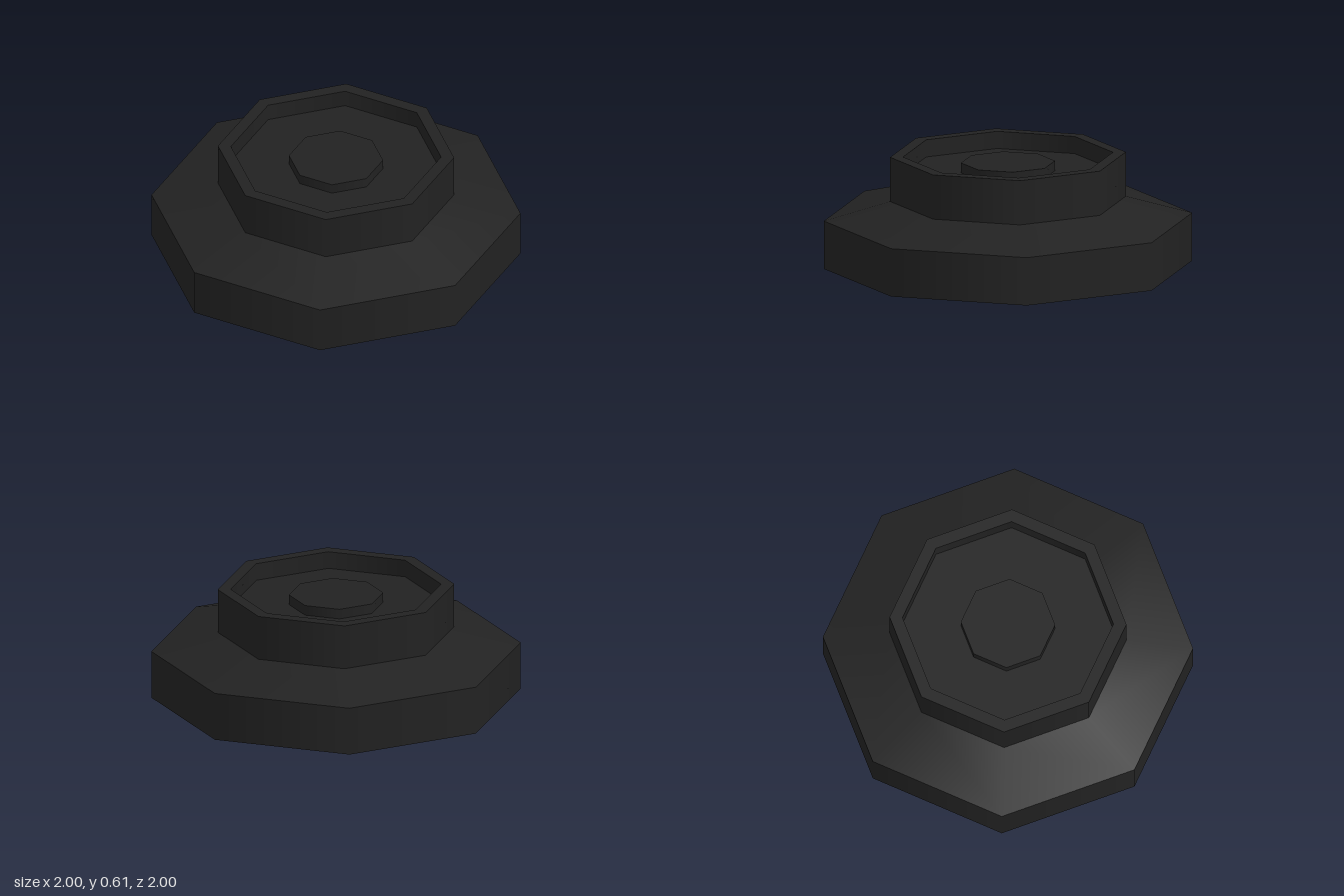
import * as THREE from 'three';

const SIDES = 8;

export function createModel() {
  const group = new THREE.Group();
  group.name = 'steppedKnob';

  const black = new THREE.MeshStandardMaterial({ color: 0x222222 });
  black.name = 'black';

  // One octagonal band per profile segment: smooth around, sharp between bands
  function addPart(name, profile) {
    const part = new THREE.Group();
    part.name = name;
    for (let i = 0; i < profile.length - 1; i++) {
      const points = [profile[i], profile[i + 1]].map(([r, y]) => new THREE.Vector2(r, y));
      const band = new THREE.Mesh(new THREE.LatheGeometry(points, SIDES), black);
      band.name = `${name}Band${i + 1}`;
      part.add(band);
    }
    group.add(part);
  }

  // Wide base: underside, wall and sloped shoulder
  addPart('base', [[0, 0], [1, 0], [1, 0.265], [0.64, 0.365]]);
  // Raised collar: outer wall, rim, inner wall
  addPart('collar', [[0.64, 0.365], [0.64, 0.61], [0.57, 0.61], [0.57, 0.515]]);
  // Recessed floor
  addPart('recessFloor', [[0.57, 0.515], [0.255, 0.515]]);
  // Centre button: wall and top
  addPart('centreButton', [[0.255, 0.515], [0.255, 0.57], [0, 0.57]]);

  return group;
}
